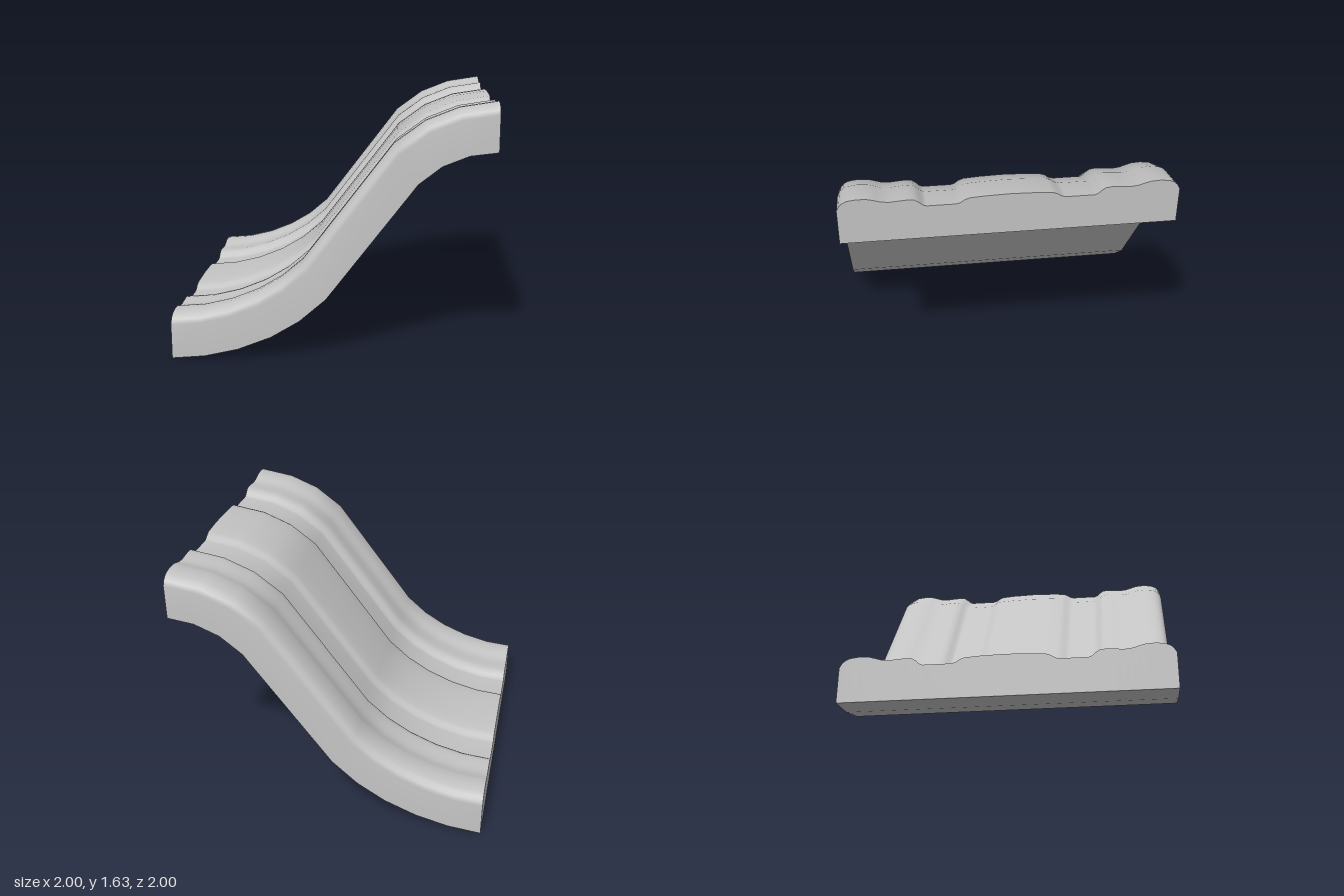
import * as THREE from 'three';

// Stations along the S curve: base x, base y, crest x, crest y
const stations = [
  [-1, 0, -1, 0.29], [-0.79, 0.02, -0.82, 0.305], [-0.58, 0.07, -0.64, 0.35],
  [-0.37, 0.155, -0.47, 0.42], [-0.19, 0.265, -0.32, 0.51], [-0.025, 0.41, -0.18, 0.63],
  [0.53, 1.14, 0.38, 1.37], [0.67, 1.25, 0.57, 1.51], [0.83, 1.315, 0.77, 1.59], [1, 1.337, 1, 1.627],
];

// Half of the moulded section from the edge to the middle: z, thickness above the base
const half = [
  [1, 0.222], [0.985, 0.25], [0.965, 0.27], [0.935, 0.283], [0.88, 0.29], [0.82, 0.286],
  [0.78, 0.275], [0.745, 0.264], [0.7, 0.259], [0.65, 0.263], [0.59, 0.267], [0.555, 0.262],
  [0.53, 0.245], [0.51, 0.226], [0.49, 0.219], [0.32, 0.219], [0.295, 0.226],
  [0.27, 0.243], [0.24, 0.254], [0.15, 0.26],
];
const crest = [...half, [0, 0.264], ...half.map(([z, h]) => [-z, h]).reverse()];

// Point on the section at one station
function pointAt([bx, by, tx, ty], [z, h]) {
  const k = h / 0.29;
  return [bx + (tx - bx) * k, by + (ty - by) * k, z];
}

// Smooth surface through rows of points
function surface(rows, name, material) {
  const n = rows[0].length, index = [];
  for (let i = 0; i < rows.length - 1; i++) {
    for (let j = 0; j < n - 1; j++) {
      const a = i * n + j, b = a + n;
      index.push(a, b, b + 1, a, b + 1, a + 1);
    }
  }
  const geometry = new THREE.BufferGeometry();
  geometry.setAttribute('position', new THREE.Float32BufferAttribute(rows.flat(2), 3));
  geometry.setIndex(index);
  geometry.computeVertexNormals();
  const mesh = new THREE.Mesh(geometry, material);
  mesh.name = name;
  return mesh;
}

export function createModel() {
  const group = new THREE.Group();
  group.name = 'curvedMoulding';
  const grey = new THREE.MeshStandardMaterial({ color: 0xc4c4c4 });
  grey.name = 'light grey';

  // Ridged top, rounded into both side walls
  const shell = [[1, 0], ...crest, [-1, 0]];
  group.add(surface(stations.map(s => shell.map(p => pointAt(s, p))), 'ridgedTop', grey));

  // Plain underside
  group.add(surface(stations.map(s => [-1, 1].map(z => pointAt(s, [z, 0]))), 'underside', grey));

  // Flat cut ends
  const cap = (station, section, name) => {
    const base = section.map(([z]) => pointAt(station, [z, 0]));
    const top = section.map(p => pointAt(station, p));
    group.add(surface([base, top], name, grey));
  };
  cap(stations[0], crest, 'lowerEnd');
  cap(stations[stations.length - 1], [...crest].reverse(), 'upperEnd');

  return group;
}
